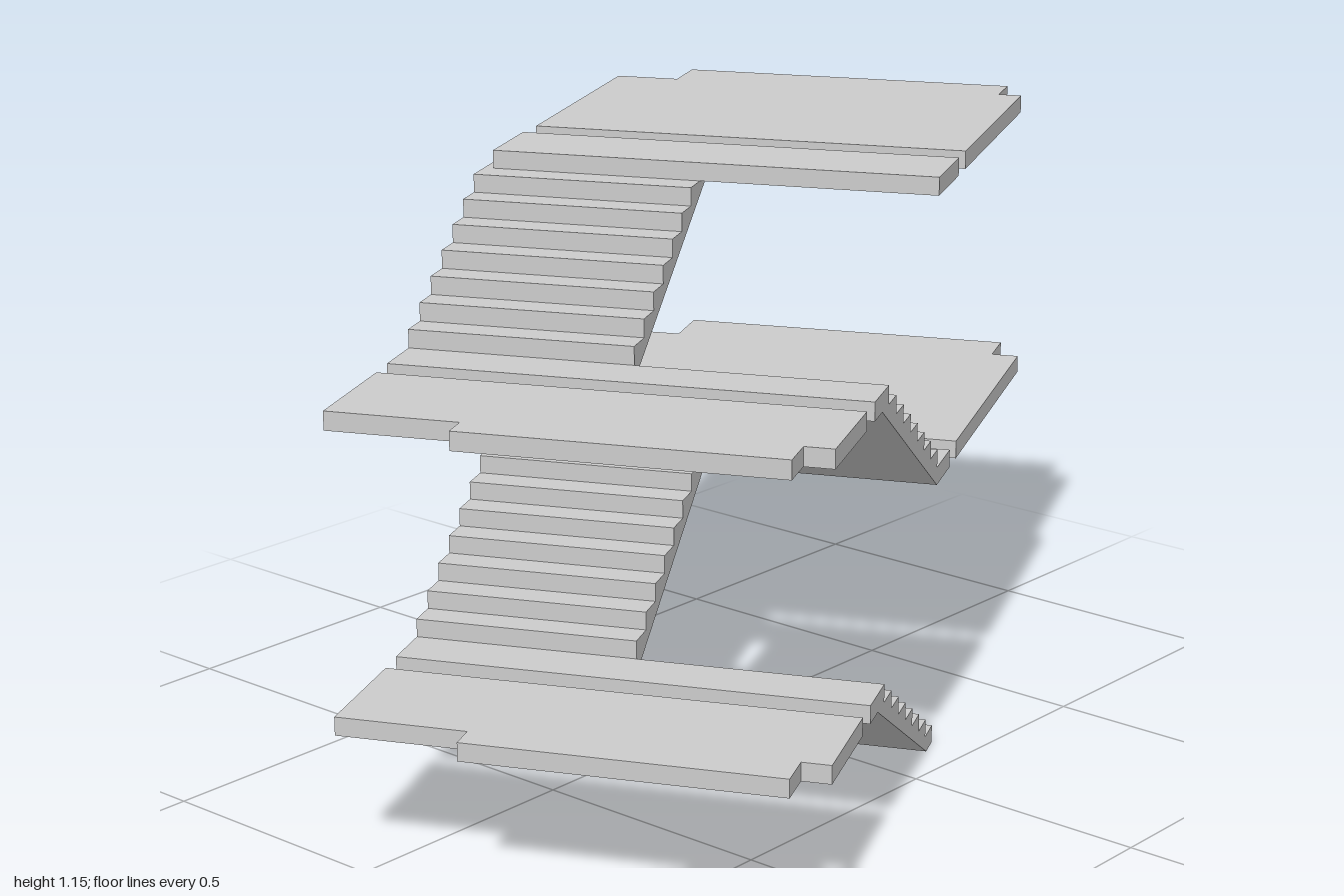
import * as THREE from 'three';

const RISE = 1.155 / 32;      // riser height, also slab thickness
const GO = 0.0625;            // tread depth
const U0 = -0.455, U1 = -0.018; // ends of every flight along the stair axis
const V0 = -0.481, V1 = 0.443;  // outer sides of the stair

const material = new THREE.MeshStandardMaterial({ color: 0xcccccc });

function extrude(points, depth) {
  const shape = new THREE.Shape(points.map(([x, y]) => new THREE.Vector2(x, y)));
  return new THREE.ExtrudeGeometry(shape, { depth, bevelEnabled: false });
}

export function createModel() {
  const model = new THREE.Group();
  model.name = 'staircase';
  const stair = new THREE.Group();
  stair.name = 'stairAndFloors';
  stair.rotation.y = 0.433; // whole stair is turned in plan
  model.add(stair);

  function add(name, geometry) {
    const mesh = new THREE.Mesh(geometry, material);
    mesh.name = name;
    stair.add(mesh);
  }

  // Horizontal slab from a plan outline of (u, v) corners, given its top level
  function slab(name, plan, top) {
    const g = extrude(plan.map(([u, v]) => [u, -v]), RISE);
    g.rotateX(-Math.PI / 2).translate(0, top - RISE, 0);
    add(name, g);
  }
  const rect = (u0, u1, v0, v1) => [[u0, v0], [u1, v0], [u1, v1], [u0, v1]];

  // Flight in front, descending from the left landing to level base
  function frontFlight(base, underside) {
    const p = [[-0.507, base + 7 * RISE]];
    for (let k = 1; k <= 7; k++) {
      const y = base + (8 - k) * RISE;
      if (k > 1) p.push([U0 + (k - 1) * GO, y]);
      p.push([U0 + k * GO, y]);
    }
    p.push(...underside);
    add('frontFlight', extrude(p, V1));
  }

  // Flight behind, climbing from the left landing at level base
  function backFlight(base) {
    const p = [[-0.465, base - RISE], [U0, base]];
    for (let k = 1; k <= 7; k++) {
      const y = base + k * RISE;
      p.push([U0 + (k - 1) * GO, y]);
      if (k < 7) p.push([U0 + k * GO, y]);
    }
    p.push([0.032, base + 7 * RISE]);
    add('backFlight', extrude(p, -0.038 - V0).translate(0, 0, V0));
  }

  for (let storey = 0; storey < 2; storey++) {
    const base = storey * 16 * RISE;
    const middle = base + 8 * RISE;

    // Stairs
    frontFlight(base, storey === 0
      ? [[U1, 0], [-0.068, 0]]
      : [[U1, base - RISE]]);
    backFlight(middle);

    // Half-storey landing and the notched floor beyond it
    slab('halfLanding', rect(-0.567, U0, V0, V1), middle);
    slab('halfFloor', [
      [-0.628, -0.478], [-0.628, 0.443], [-0.859, 0.443], [-0.859, 0.387],
      [-0.938, 0.387], [-0.938, -0.223], [-0.884, -0.223], [-0.884, -0.478],
    ], middle);
  }

  // Main landings and notched floors, each level slightly different
  const floors = [
    { top: 16 * RISE, landing: [U1, 0.101, V0, V1],
      u: [0.162, 0.794, 0.817, 0.917], v: [V0, -0.322, 0.386, V1] },
    { top: 32 * RISE, landing: [U1, 0.164, -0.462, 0.436],
      u: [0.228, 0.79, 0.81, 0.905], v: [-0.456, -0.322, 0.388, 0.436] },
  ];
  for (const { top, landing, u, v } of floors) {
    slab('mainLanding', rect(...landing), top);
    slab('mainFloor', [
      [u[0], v[0]], [u[1], v[0]], [u[1], v[1]], [u[3], v[1]],
      [u[3], v[2]], [u[2], v[2]], [u[2], v[3]], [u[0], v[3]],
    ], top);
  }
  return model;
}
